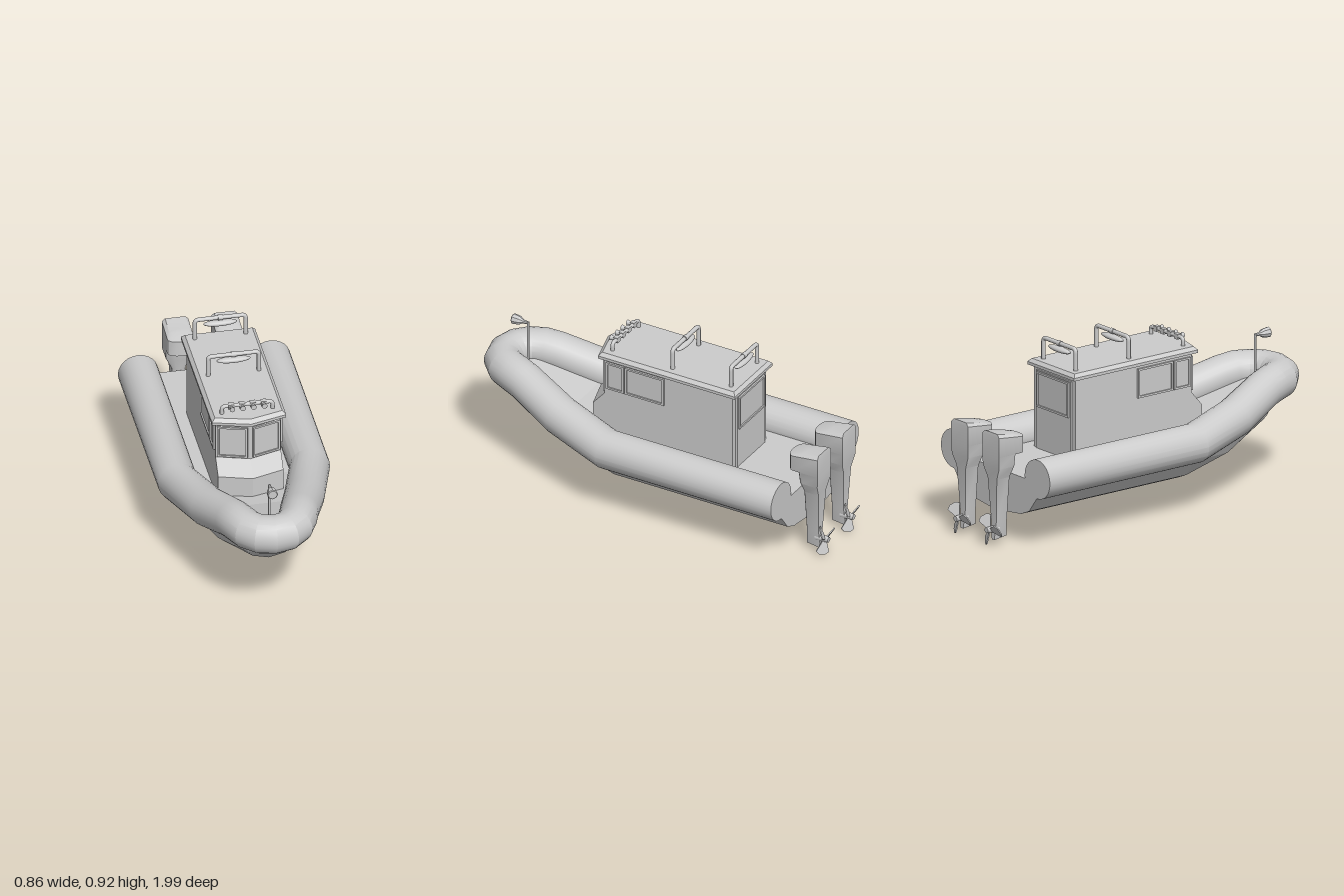
import * as THREE from 'three';
import { toCreasedNormals } from 'three/addons/utils/BufferGeometryUtils.js';

const V = (x, y, z) => new THREE.Vector3(x, y, z);
const smooth = new THREE.MeshStandardMaterial({ color: 0xcccccc });
const flat = new THREE.MeshStandardMaterial({ color: 0xcccccc, flatShading: true });

function add(parent, name, geo, pos = [0, 0, 0], mat = smooth) {
  const m = new THREE.Mesh(geo, mat);
  m.name = name;
  m.position.set(...pos);
  parent.add(m);
  return m;
}

// Skin closed rings (counter-clockwise seen from the far end) and cap both ends
function loft(rings) {
  const n = rings[0].length, pts = rings.flat(), idx = [];
  for (let r = 0; r < rings.length - 1; r++) {
    for (let i = 0; i < n; i++) {
      const a = r * n + i, b = r * n + (i + 1) % n;
      idx.push(a, b, b + n, a, b + n, a + n);
    }
  }
  for (const [r, flip] of [[0, true], [rings.length - 1, false]]) {
    const c = rings[r].reduce((s, p) => s.add(p), V(0, 0, 0)).divideScalar(n);
    const k = pts.push(c) - 1;
    for (let i = 0; i < n; i++) {
      const a = r * n + i, b = r * n + (i + 1) % n;
      idx.push(k, flip ? b : a, flip ? a : b);
    }
  }
  const g = new THREE.BufferGeometry().setFromPoints(pts);
  g.setIndex(idx);
  g.computeVertexNormals();
  return g;
}

// Inflatable collar: a round section swept around the bow
function collarGeometry() {
  const half = [[0.33, 0.362, -0.84], [0.33, 0.362, 0.14], [0.238, 0.41, 0.46], [0.165, 0.49, 0.7],
    [0.145, 0.504, 0.77], [0.115, 0.505, 0.835], [0.065, 0.505, 0.882]].map(p => V(...p));
  const path = [...half, V(0, 0.505, 0.898), ...half.map(p => V(-p.x, p.y, p.z)).reverse()];
  const rings = path.map((p, i) => {
    const t = V(0, 0, 0);
    if (i > 0) t.add(p.clone().sub(path[i - 1]).normalize());
    if (i < path.length - 1) t.add(path[i + 1].clone().sub(p).normalize());
    t.normalize();
    const side = V(0, 1, 0).cross(t).normalize(), up = t.clone().cross(side);
    const r = p.y > 0.48 ? 0.096 : 0.1;
    return Array.from({ length: 24 }, (_, k) => {
      const a = k / 24 * Math.PI * 2;
      return p.clone().addScaledVector(side, r * Math.cos(a)).addScaledVector(up, r * Math.sin(a));
    });
  });
  return toCreasedNormals(loft(rings), 0.35);
}

// Hull station: keel, two chines, side and deck edge, mirrored
function hullRing(z, keel, ...side) {
  return [V(0, keel, z), ...side.map(([x, y]) => V(x, y, z)),
    ...side.map(([x, y]) => V(-x, y, z)).reverse()];
}

// Cabin outline with a pointed front
const cabinRing = (y, w, back, front, nose) => [V(w, y, back), V(-w, y, back), V(-w, y, front),
  V(0, y, front + nose), V(w, y, front)];

function makeWindow(parent, name, w, h, pos, turn) {
  const g = new THREE.Group();
  g.name = name;
  g.position.set(...pos);
  g.rotation.y = turn;
  const rect = (C, a, b) => new C([[-a, -b], [a, -b], [a, b], [-a, b]].map(p => new THREE.Vector2(...p)));
  const s = rect(THREE.Shape, w / 2, h / 2);
  s.holes.push(rect(THREE.Path, w / 2 - 0.01, h / 2 - 0.01));
  add(g, 'windowFrame', new THREE.ExtrudeGeometry(s, { depth: 0.01, bevelEnabled: false }));
  add(g, 'windowPane', new THREE.BoxGeometry(w - 0.016, h - 0.016, 0.004), [0, 0, 0.001]);
  parent.add(g);
}

// Bent pipe hoop standing on the roof
function hoop(parent, name, z, halfW, top, r) {
  const c = 0.02, p = new THREE.CurvePath(), base = 0.785;
  const L = (a, b) => p.add(new THREE.LineCurve3(a, b));
  const Q = (a, b, d) => p.add(new THREE.QuadraticBezierCurve3(a, b, d));
  L(V(-halfW, base, z), V(-halfW, top - c, z));
  Q(V(-halfW, top - c, z), V(-halfW, top, z), V(-halfW + c, top, z));
  L(V(-halfW + c, top, z), V(halfW - c, top, z));
  Q(V(halfW - c, top, z), V(halfW, top, z), V(halfW, top - c, z));
  L(V(halfW, top - c, z), V(halfW, base, z));
  add(parent, name, new THREE.TubeGeometry(p, 80, r, 10));
}

// Engine section: square at the back, rounded at the front
function engineRing(yFront, yBack, front, back, w) {
  const round = Math.min(w * 0.5, (front - back) * 0.4);
  const pts = [V(w, yBack, back), V(-w, yBack, back)];
  for (let i = 0; i <= 8; i++) {
    const a = Math.PI * (1 - i / 8);
    pts.push(V(w * Math.cos(a), yFront, front - round + round * Math.sin(a)));
  }
  return pts;
}

function makeEngine(x) {
  const g = new THREE.Group();
  g.name = 'outboardEngine';
  g.position.x = x;
  add(g, 'engineCasing', toCreasedNormals(loft([
    engineRing(0.035, 0.025, -0.87, -0.95, 0.01), engineRing(0.12, 0.12, -0.873, -0.945, 0.02),
    engineRing(0.34, 0.34, -0.863, -0.955, 0.036), engineRing(0.4, 0.4, -0.845, -0.963, 0.064),
    engineRing(0.46, 0.46, -0.838, -0.965, 0.065), engineRing(0.462, 0.462, -0.79, -0.965, 0.066),
    engineRing(0.545, 0.56, -0.79, -0.965, 0.066), engineRing(0.562, 0.577, -0.85, -0.962, 0.05),
  ]), 0.5));
  const hub = add(g, 'propellerHub', new THREE.CylinderGeometry(0.02, 0.014, 0.07, 10), [0, 0.08, -0.957]);
  hub.rotation.x = Math.PI / 2;
  const s = new THREE.Shape([[-0.01, 0.008], [0.01, 0.008], [0.037, 0.062], [0.02, 0.078], [-0.015, 0.08],
    [-0.035, 0.068]].map(p => new THREE.Vector2(...p)));
  const blade = new THREE.ExtrudeGeometry(s, { depth: 0.006, bevelEnabled: false }).translate(0, 0, -0.003).rotateY(0.55);
  for (const deg of [175, 295, 55]) {
    add(g, 'propellerBlade', blade, [0, 0.08, -0.97], flat).rotation.z = (deg - 90) * Math.PI / 180;
  }
  return g;
}

export function createModel() {
  const boat = new THREE.Group();
  boat.name = 'rigidInflatableBoat';

  // Hull with deck
  const mid = [[0.2, 0.155], [0.265, 0.183], [0.33, 0.268], [0.33, 0.345]];
  add(boat, 'hull', loft([
    hullRing(-0.84, 0.13, ...mid), hullRing(0.14, 0.13, ...mid),
    hullRing(0.46, 0.17, [0.145, 0.195], [0.19, 0.22], [0.24, 0.32], [0.24, 0.395]),
    hullRing(0.77, 0.285, [0.08, 0.305], [0.105, 0.33], [0.14, 0.42], [0.145, 0.49]),
    hullRing(0.86, 0.375, [0.045, 0.385], [0.06, 0.395], [0.08, 0.43], [0.09, 0.495]),
    hullRing(0.885, 0.42, [0.03, 0.422], [0.04, 0.425], [0.05, 0.44], [0.05, 0.495]),
  ]), [0, 0, 0], flat);
  add(boat, 'inflatableCollar', collarGeometry());

  // Cabin
  const cabin = new THREE.Group();
  cabin.name = 'cabin';
  boat.add(cabin);
  add(cabin, 'cabinBody', loft([
    cabinRing(0.33, 0.163, -0.47, 0.32, 0.05), cabinRing(0.485, 0.163, -0.47, 0.32, 0.05),
    cabinRing(0.56, 0.163, -0.47, 0.255, 0.05), cabinRing(0.77, 0.163, -0.47, 0.255, 0.05)]), [0, 0, 0], flat);
  add(cabin, 'roof', loft([
    cabinRing(0.763, 0.185, -0.495, 0.278, 0.05), cabinRing(0.778, 0.185, -0.495, 0.278, 0.05),
    cabinRing(0.795, 0.168, -0.48, 0.263, 0.045)]), [0, 0, 0], flat);
  for (const s of [-1, 1]) {
    makeWindow(cabin, 'frontWindow', 0.15, 0.175, [s * 0.083, 0.655, 0.279], s * 0.297);
    makeWindow(cabin, 'sideFrontWindow', 0.1, 0.15, [s * 0.163, 0.67, 0.192], s * Math.PI / 2);
    makeWindow(cabin, 'sideRearWindow', 0.22, 0.15, [s * 0.163, 0.67, 0.025], s * Math.PI / 2);
  }
  add(cabin, 'rearDoor', new THREE.BoxGeometry(0.27, 0.4, 0.012), [0, 0.545, -0.474]);
  makeWindow(cabin, 'rearWindow', 0.25, 0.18, [0, 0.65, -0.479], Math.PI);

  // Roof hoops with antenna pods, and the light bar
  for (const z of [-0.11, -0.44]) {
    hoop(boat, 'roofHoop', z, 0.127, 0.904, 0.011);
    add(boat, 'antennaPod', new THREE.SphereGeometry(1, 24, 12), [0, 0.873, z]).scale.set(0.085, 0.015, 0.022);
    add(boat, 'podBracket', new THREE.CylinderGeometry(0.014, 0.014, 0.024, 12), [0, 0.904, z]).rotation.z = Math.PI / 2;
  }
  hoop(boat, 'lightBar', 0.23, 0.127, 0.835, 0.01);
  for (const x of [-0.081, -0.027, 0.027, 0.081]) {
    add(boat, 'lightClamp', new THREE.BoxGeometry(0.027, 0.027, 0.025), [x, 0.833, 0.232]);
    add(boat, 'roofLight', new THREE.CylinderGeometry(0.014, 0.007, 0.025, 10), [x, 0.833, 0.254]).rotation.x = Math.PI / 2;
  }

  // Bow searchlight
  add(boat, 'searchlightPole', new THREE.CylinderGeometry(0.006, 0.006, 0.24, 8), [0, 0.6, 0.78]);
  const head = [[0, 0], [0.008, 0], [0.01, 0.025], [0.022, 0.045], [0.027, 0.08], [0.023, 0.084], [0, 0.084]];
  add(boat, 'searchlightHead', new THREE.LatheGeometry(head.map(p => new THREE.Vector2(...p)), 8),
    [0, 0.714, 0.782], flat).rotation.x = Math.PI / 2;

  // Twin outboards
  for (const x of [-0.12, 0.125]) boat.add(makeEngine(x));
  return boat;
}
